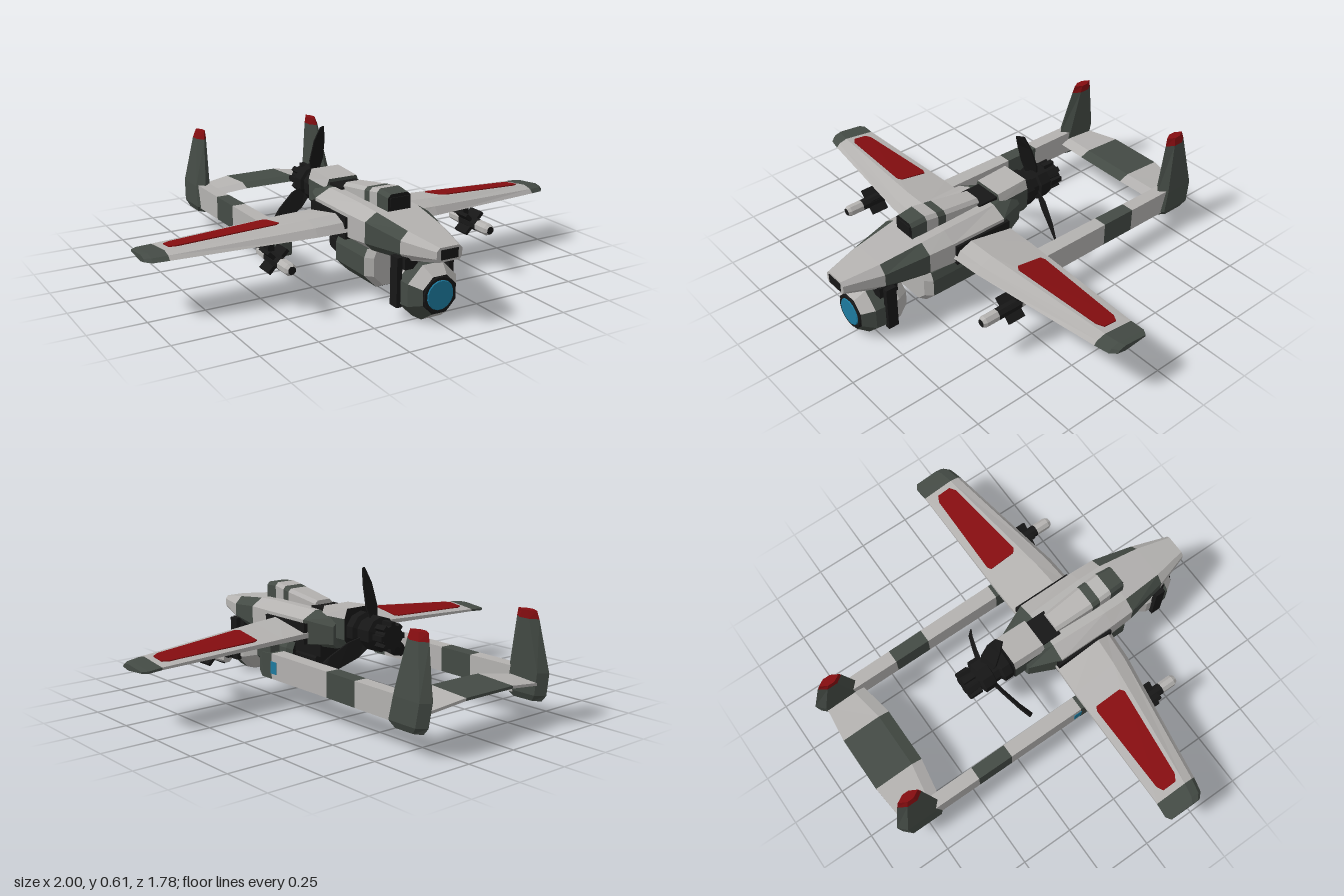
import * as THREE from 'three';

const mat = (name, color) => Object.assign(new THREE.MeshStandardMaterial({ color }), { name });
const M = [
  mat('light grey paint', 0xb4b2b0), mat('dark green grey paint', 0x444b45), mat('black metal', 0x171717),
  mat('red marking', 0x850d10), mat('blue glass', 0x1d7ba0),
];
const LIGHT = 0, GREEN = 1, BLACK = 2, RED = 3, BLUE = 4;

// Flat-faced closed skin over a row of rings; colour(i, j) picks the material of each strip face
function loft(name, rings, colour, startCap, endCap) {
  const pick = typeof colour === 'function' ? colour : () => colour;
  const n = rings[0].length, last = rings.length - 1, tris = [];
  for (let i = 0; i < last; i++) for (let j = 0; j < n; j++) {
    const k = (j + 1) % n, a = rings[i][j], b = rings[i][k], c = rings[i + 1][k], d = rings[i + 1][j];
    tris.push([a, b, c, pick(i, j)], [a, c, d, pick(i, j)]);
  }
  for (let j = 1; j < n - 1; j++) {
    const [s, e] = [rings[0], rings[last]];
    tris.push([s[0], s[j + 1], s[j], startCap ?? pick(0, j)], [e[0], e[j], e[j + 1], endCap ?? pick(last - 1, j)]);
  }
  // Turn every face outward by the sign of the volume
  const o = rings[0][0], v = (p) => new THREE.Vector3(p[0] - o[0], p[1] - o[1], p[2] - o[2]);
  const volume = tris.reduce((t, [a, b, c]) => t + v(a).dot(v(b).cross(v(c))), 0);
  const geo = new THREE.BufferGeometry(), pos = [];
  tris.sort((a, b) => a[3] - b[3]).forEach(([a, b, c, m], i) => {
    pos.push(...a, ...(volume < 0 ? c : b), ...(volume < 0 ? b : c));
    const g = geo.groups[geo.groups.length - 1];
    if (g && g.materialIndex === m) g.count += 3; else geo.addGroup(i * 3, 3, m);
  });
  geo.setAttribute('position', new THREE.Float32BufferAttribute(pos, 3));
  geo.computeVertexNormals();
  const mesh = new THREE.Mesh(geo, M);
  mesh.name = name;
  return mesh;
}

// Round section facing z
const round = (r, z, cx, cy, n = 8) => Array.from({ length: n }, (_, j) => {
  const a = (j + 0.5) / n * Math.PI * 2;
  return [cx + r * Math.cos(a), cy + r * Math.sin(a), z];
});
const turned = (name, cx, cy, profile, colour, n = 8, s, e) =>
  loft(name, profile.map(([z, r]) => round(r, z, cx, cy, n)), colour, s, e);

// Eight-sided hull section: faces 0 and 6 low chamfers, 1 and 5 sides, 2 and 4 shoulders, 3 top, 7 bottom
const hull = ([z, wt, w, wb, yt, yu, yl, yb]) =>
  [[wb, yb], [w, yl], [w, yu], [wt, yt], [-wt, yt], [-w, yu], [-w, yl], [-wb, yb]].map(([x, y]) => [x, y, z]);

const rect = (z, x, w, y0, y1) => [[x - w, y0, z], [x + w, y0, z], [x + w, y1, z], [x - w, y1, z]];

function box(name, m, x0, x1, y0, y1, z0, z1) {
  const mesh = new THREE.Mesh(new THREE.BoxGeometry(x1 - x0, y1 - y0, z1 - z0), M[m]);
  mesh.position.set((x0 + x1) / 2, (y0 + y1) / 2, (z0 + z1) / 2);
  mesh.name = name;
  return mesh;
}

function addBody(g) {
  const side = (j) => [0, 1, 2, 4, 5, 6].includes(j);
  g.add(loft('fuselage', [
    [0.89, 0.045, 0.06, 0.05, 0.345, 0.33, 0.30, 0.285],
    [0.72, 0.08, 0.115, 0.09, 0.37, 0.335, 0.28, 0.25],
    [0.52, 0.10, 0.155, 0.12, 0.395, 0.36, 0.27, 0.235],
    [0.40, 0.10, 0.16, 0.12, 0.40, 0.36, 0.26, 0.235],
    [0.12, 0.09, 0.16, 0.11, 0.395, 0.36, 0.25, 0.235],
    [-0.02, 0.06, 0.10, 0.08, 0.38, 0.34, 0.26, 0.24],
  ].map(hull), (i, j) => (j === 7 || i === 4 || (i === 1 && side(j)) ? GREEN : LIGHT)));
  g.add(box('noseWindow', BLACK, -0.04, 0.04, 0.295, 0.335, 0.888, 0.894));

  // Intake hump on the spine
  g.add(loft('intakeHump', [[0.535, 0.055, 0.465], [0.46, 0.06, 0.472], [0.40, 0.06, 0.462], [0.36, 0.06, 0.455], [0.17, 0.05, 0.425]]
    .map(([z, w, y]) => [[-w, 0.37, z], [w, 0.37, z], [w, y - 0.015, z], [w - 0.015, y, z], [-w + 0.015, y, z], [-w, y - 0.015, z]]),
  (i) => (i % 2 ? LIGHT : GREEN), BLACK));
  g.add(box('intakeMouth', BLACK, -0.045, 0.045, 0.41, 0.45, 0.534, 0.54));
  g.add(box('spineBlock', BLACK, -0.065, 0.065, 0.34, 0.405, 0.05, 0.18));
  g.add(box('wingRootBand', BLACK, -0.172, 0.172, 0.25, 0.345, 0.10, 0.39));
  g.add(box('bellyMount', BLACK, -0.11, 0.11, 0.19, 0.25, 0.06, 0.51));

  // Belly pod
  g.add(loft('bellyPod', [
    [0.53, 0.10, 0.115, 0.07, 0.235, 0.20, 0.12, 0.075],
    [0.50, 0.13, 0.145, 0.085, 0.235, 0.20, 0.12, 0.06],
    [0.27, 0.13, 0.145, 0.085, 0.235, 0.20, 0.12, 0.06],
    [0.245, 0.11, 0.125, 0.07, 0.225, 0.19, 0.12, 0.075],
  ].map(hull), (i, j) => (j === 7 ? BLACK : i === 0 ? LIGHT : GREEN), LIGHT, BLACK));
  g.add(loft('podTail', [
    [0.25, 0.09, 0.11, 0.07, 0.21, 0.18, 0.12, 0.085],
    [0.12, 0.07, 0.09, 0.06, 0.20, 0.17, 0.13, 0.10],
  ].map(hull), BLACK));
}

function addSensor(g) {
  // Faceted sensor ball with lens and yoke
  g.add(turned('sensorBall', 0, 0.125, [[0.832, 0.085], [0.78, 0.125], [0.72, 0.131], [0.66, 0.125], [0.60, 0.085]],
    (i, j) => (i > 1 || (i === 0 && j !== 3 && j !== 7 && j !== 4 && j !== 6) ? LIGHT : GREEN), 8, BLACK));
  g.add(turned('lensRing', 0, 0.125, [[0.83, 0.08], [0.838, 0.075]], BLACK, 16));
  g.add(turned('lens', 0, 0.125, [[0.836, 0.065], [0.842, 0.06]], BLUE, 16));
  for (const s of [-1, 1]) g.add(box('sensorYoke', BLACK, s * 0.125 - 0.012, s * 0.125 + 0.012, 0.06, 0.27, 0.685, 0.735));
  g.add(box('sensorNeck', BLACK, -0.11, 0.11, 0.22, 0.27, 0.66, 0.75));
}

function addEngine(g) {
  g.add(loft('engineCowl', [
    [0.08, 0.07, 0.085, 0.06, 0.42, 0.38, 0.29, 0.255],
    [-0.08, 0.07, 0.085, 0.06, 0.43, 0.385, 0.29, 0.255],
  ].map(hull), (i, j) => (j > 1 && j < 5 ? LIGHT : GREEN), GREEN, BLACK));
  g.add(turned('engine', 0, 0.33, [[-0.07, 0.07], [-0.09, 0.085], [-0.13, 0.085], [-0.14, 0.065], [-0.17, 0.065],
    [-0.175, 0.08], [-0.23, 0.08], [-0.24, 0.05], [-0.305, 0.055]], BLACK, 10));
  for (let k = 0; k < 8; k++) { // cylinder fins around the crankcase
    const a = k * Math.PI / 4, fin = box('engineFin', BLACK, -0.012, 0.012, -0.012, 0.012, -0.03, 0.03);
    fin.position.set(0.055 * Math.cos(a), 0.33 + 0.055 * Math.sin(a), -0.275);
    fin.rotation.z = a;
    g.add(fin);
  }
  // Three blades swept toward the nose
  const blade = [[0.04, 0.022, 0], [0.12, 0.04, 0.02], [0.22, 0.032, 0.05], [0.285, 0.014, 0.075]];
  for (let k = 0; k < 3; k++) {
    const b = loft('propellerBlade', blade.map(([y, w, z]) =>
      [[-w, y, z + 0.008], [w, y, z - 0.012], [w, y, z - 0.004], [-w, y, z + 0.016]]), BLACK);
    b.position.set(0, 0.325, -0.185);
    b.rotation.z = k * Math.PI * 2 / 3;
    g.add(b);
  }
}

// Wing stations: x, leading z, trailing z, bottom y, top y
const STATIONS = [[0.15, 0.40, 0.095, 0.25, 0.345], [0.30, 0.39, 0.09, 0.252, 0.335], [0.91, 0.295, 0.09, 0.248, 0.29],
  [0.975, 0.28, 0.085, 0.246, 0.284], [1.0, 0.255, 0.10, 0.25, 0.278]];

function addSide(g, s) {
  g.add(loft('wing', STATIONS.map(([x, zl, zt, yb, yt]) => {
    const c = zl - zt, h = yt - yb;
    return [[zl, yb + h * 0.35], [zl - c * 0.08, yb + h * 0.75], [zl - c * 0.28, yt], [zt, yb + h * 0.55],
      [zt, yb + h * 0.3], [zl - c * 0.3, yb]].map(([z, y]) => [s * x, y, z]);
  }), (i) => (i > 1 ? GREEN : LIGHT)));

  // Red panel lying on the rear slope of the wing
  const slope = (x, z) => {
    const t = (x - 0.30) / 0.61, [p, q] = [STATIONS[1], STATIONS[2]];
    const [, zl, zt, yb, yt] = p.map((v, i) => v + (q[i] - v) * t);
    return yt - 0.45 * (yt - yb) * (zl - 0.28 * (zl - zt) - z) / (0.72 * (zl - zt));
  };
  g.add(loft('wingPanel', [[0.41, 0.13, 0.255], [0.43, 0.12, 0.27], [0.85, 0.13, 0.228], [0.88, 0.145, 0.21]].map(([x, z0, z1]) =>
    [[z0, -0.002], [z1, -0.002], [z1, 0.005], [z0, 0.005]].map(([z, d]) => [s * x, slope(x, z) + d, z])), RED));

  // Tail boom with dark bands
  const bx = s * 0.335;
  g.add(loft('tailBoom', [[0.18, 0.025, 0.15, 0.22], [0.15, 0.034, 0.13, 0.24], [0.08, 0.034, 0.13, 0.245], [-0.30, 0.032, 0.128, 0.24],
    [-0.475, 0.031, 0.125, 0.237], [-0.72, 0.03, 0.122, 0.235]].map(([z, w, y0, y1]) => rect(z, bx, w, y0, y1)),
  (i) => [GREEN, GREEN, LIGHT, GREEN, LIGHT][i]));
  g.add(box('boomWindow', BLUE, s * 0.367 - 0.004, s * 0.367 + 0.004, 0.155, 0.21, 0.045, 0.085));
  g.add(box('boomPylon', GREEN, bx - 0.025, bx + 0.025, 0.22, 0.28, 0.10, 0.18));

  // Fin leaning inward, with red tip
  g.add(loft('tailFin', [[0.10, 0.343, 0.022, -0.68, -0.85], [0.13, 0.342, 0.036, -0.655, -0.875], [0.23, 0.337, 0.036, -0.675, -0.89],
    [0.455, 0.315, 0.024, -0.725, -0.845], [0.49, 0.31, 0.019, -0.735, -0.835]].map(([y, x, w, zf, zr]) =>
    [[0, zf], [w, zf - 0.035], [w, zr + 0.035], [0, zr], [-w, zr + 0.035], [-w, zf - 0.035]].map(([dx, z]) => [s * x + dx, y, z])),
  (i) => (i === 3 ? RED : GREEN)));

  // Underwing store with cross fins
  const mx = s * 0.49;
  g.add(turned('underwingStore', mx, 0.215, [[0.52, 0.018], [0.505, 0.027], [0.44, 0.027], [0.32, 0.027], [0.24, 0.022]],
    (i) => (i === 2 ? BLACK : LIGHT), 8, BLACK));
  for (const a of [Math.PI / 4, -Math.PI / 4]) {
    const fin = box('storeFin', BLACK, -0.062, 0.062, -0.008, 0.008, -0.04, 0.04);
    fin.position.set(mx, 0.215, 0.365);
    fin.rotation.z = a;
    g.add(fin);
  }
  g.add(box('storePylon', BLACK, mx - 0.014, mx + 0.014, 0.22, 0.28, 0.22, 0.34));
}

function addTailplane(g) {
  g.add(loft('tailplane', [[-0.32, 0.18, -0.66, -0.85], [-0.135, 0.205, -0.63, -0.87], [0.135, 0.205, -0.63, -0.87], [0.32, 0.18, -0.66, -0.85]]
    .map(([x, y, zf, zr]) => [[x, y, zf], [x, y + 0.018, zf - 0.05], [x, y + 0.006, zr], [x, y - 0.006, zr], [x, y - 0.016, zf - 0.05]]),
  (i) => (i === 1 ? GREEN : LIGHT)));
}

export function createModel() {
  const g = new THREE.Group();
  g.name = 'twinBoomAircraft';
  addBody(g);
  addSensor(g);
  addEngine(g);
  for (const s of [-1, 1]) addSide(g, s);
  addTailplane(g);
  return g;
}
